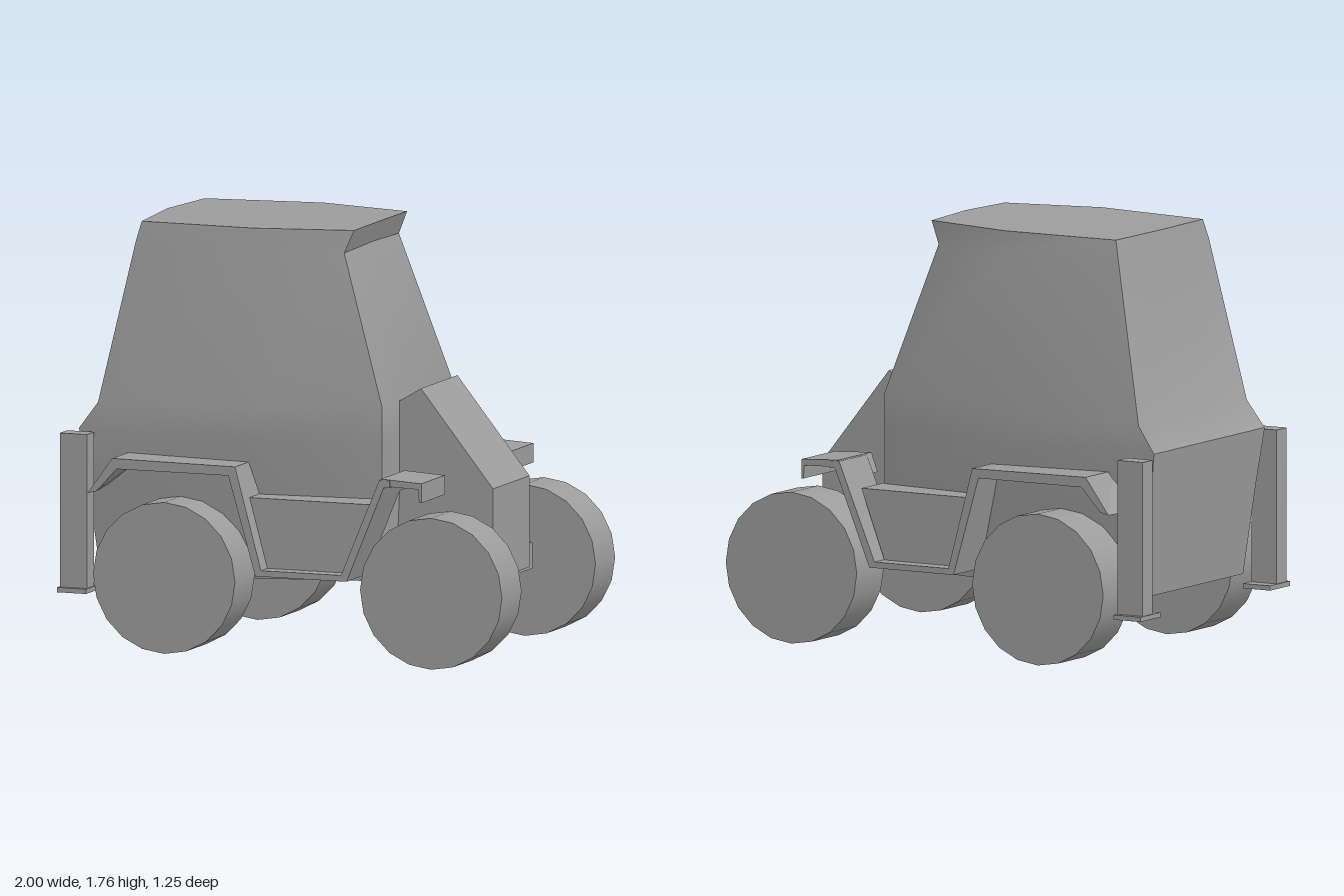
import * as THREE from 'three';
import { toCreasedNormals } from 'three/addons/utils/BufferGeometryUtils.js';

const mat = new THREE.MeshStandardMaterial({ color: 0x9c9c9c });

function add(group, name, geometry) {
  const mesh = new THREE.Mesh(geometry, mat);
  mesh.name = name;
  group.add(mesh);
  return mesh;
}

// Side profile in x/y, extruded from z0 to z1
function prism(points, z0, z1) {
  const shape = new THREE.Shape(points.map(([x, y]) => new THREE.Vector2(x, y)));
  return new THREE.ExtrudeGeometry(shape, { depth: z1 - z0, bevelEnabled: false }).translate(0, 0, z0);
}

function box(x0, x1, y0, y1, z0, z1) {
  return new THREE.BoxGeometry(x1 - x0, y1 - y0, z1 - z0)
    .translate((x0 + x1) / 2, (y0 + y1) / 2, (z0 + z1) / 2);
}

// Leaves a shell open at the bottom by dropping its downward faces
function openBelow(geometry) {
  const p = geometry.attributes.position.array, n = geometry.attributes.normal;
  const pos = [];
  for (let i = 0; i < n.count; i += 3) {
    if (n.getY(i) > -0.9) pos.push(...p.slice(i * 3, i * 3 + 9));
  }
  const g = new THREE.BufferGeometry();
  g.setAttribute('position', new THREE.Float32BufferAttribute(pos, 3));
  g.computeVertexNormals();
  return g;
}

// Skin over mirrored horizontal sections, listed bottom to top.
// Each section: rear centre, rear corner, middle, front corner, front centre
function loft(sections) {
  const n = 8, pos = [], index = [];
  for (const half of sections) {
    const mirrored = half.slice(1, 4).reverse().map(([x, y, z]) => [x, y, -z]);
    for (const p of [...half, ...mirrored]) pos.push(...p);
  }
  for (let s = 0; s < sections.length - 1; s++) {
    for (let i = 0; i < n; i++) {
      const a = s * n + i, b = s * n + (i + 1) % n;
      index.push(a, b, b + n, a, b + n, a + n);
    }
  }
  const top = (sections.length - 1) * n;
  for (let i = 1; i < n - 1; i++) {
    index.push(0, i + 1, i);
    index.push(top, top + i, top + i + 1);
  }
  const g = new THREE.BufferGeometry();
  g.setAttribute('position', new THREE.Float32BufferAttribute(pos, 3));
  g.setIndex(index);
  return toCreasedNormals(g, 0.45);
}

// The outer rear corner of the fender is cut back
function cutRearCorner(geometry) {
  const p = geometry.attributes.position;
  for (let i = 0; i < p.count; i++) {
    if (p.getX(i) < -0.8 && Math.abs(p.getZ(i)) > 0.6) p.setX(i, p.getX(i) + 0.03);
  }
  geometry.computeVertexNormals();
  return geometry;
}

export function createModel() {
  const model = new THREE.Group();
  model.name = 'tractor';

  // Cabin and lower body, with rear ledge and front roof overhang
  add(model, 'cabin', loft([
    [[-0.87, 0.28, 0], [-0.87, 0.28, 0.40], [-0.2, 0.30, 0.40], [0.36, 0.32, 0.40], [0.36, 0.32, 0]],
    [[-0.92, 0.66, 0], [-0.92, 0.66, 0.42], [-0.2, 0.66, 0.45], [0.375, 0.66, 0.39], [0.375, 0.66, 0]],
    [[-0.95, 0.89, 0], [-0.95, 0.89, 0.44], [-0.18, 0.89, 0.485], [0.375, 0.89, 0.39], [0.375, 0.89, 0]],
    [[-0.885, 1.0, 0], [-0.87, 1.0, 0.43], [-0.18, 1.03, 0.49], [0.375, 1.04, 0.39], [0.375, 1.04, 0]],
    [[-0.75, 1.67, 0], [-0.73, 1.67, 0.36], [-0.2, 1.67, 0.40], [0.17, 1.66, 0.30], [0.18, 1.67, 0]],
    [[-0.735, 1.755, 0], [-0.71, 1.75, 0.345], [-0.2, 1.755, 0.385], [0.21, 1.755, 0.29], [0.22, 1.76, 0]],
  ]));

  // Sloping hood, an open shell underneath
  add(model, 'hood', openBelow(prism(
    [[0.36, 0.32], [0.79, 0.32], [0.79, 0.70], [0.47, 1.10], [0.37, 1.04]], -0.20, 0.20)));

  // Wheels
  for (const [name, x] of [['rearWheel', -0.50], ['frontWheel', 0.685]]) {
    for (const s of [1, -1]) {
      const wheel = add(model, name, new THREE.CylinderGeometry(0.315, 0.315, 0.215, 20));
      wheel.rotation.x = Math.PI / 2;
      wheel.position.set(x, 0.315, s * 0.5125);
    }
  }

  // Bent strip: rear fender, step and rise to the front fender
  const strip = [
    [-0.87, 0.65], [-0.83, 0.66], [-0.71, 0.757], [-0.215, 0.757], [-0.095, 0.345], [0.31, 0.345],
    [0.475, 0.745], [0.50, 0.745], [0.50, 0.775], [0.455, 0.775], [0.285, 0.37], [-0.07, 0.37],
    [-0.185, 0.795], [-0.73, 0.80],
  ];
  // Front fender plate with a short lip at its leading edge
  const frontFender = [
    [0.43, 0.70], [0.455, 0.70], [0.475, 0.75], [0.625, 0.745], [0.63, 0.69], [0.64, 0.69],
    [0.64, 0.77], [0.46, 0.78],
  ];
  const tank = [[-0.08, 0.37], [0.28, 0.37], [0.39, 0.66], [-0.15, 0.66]];
  const housing = [[0.47, 0.29], [0.74, 0.29], [0.74, 0.40], [0.47, 0.45]];
  for (const s of [1, -1]) {
    const span = (a, b) => s > 0 ? [a, b] : [-b, -a];
    add(model, 'fenderStrip', cutRearCorner(prism(strip, ...span(0.40, 0.62))));
    add(model, 'frontFender', prism(frontFender, ...span(0.355, 0.615)));
    add(model, 'sideTank', prism(tank, ...span(0.38, 0.55)));
    add(model, 'frontAxleHousing', prism(housing, ...span(0.20, 0.355)));
  }

  // Rear posts on foot plates, set slightly off centre
  for (const [post, foot] of [[0.50, 0.48], [-0.565, -0.55]]) {
    add(model, 'rearPost', box(-0.995, -0.875, 0.23, 0.88, post - 0.04, post + 0.04));
    add(model, 'footPlate', box(-1, -0.87, 0.22, 0.24, foot - 0.08, foot + 0.08));
  }
  return model;
}
